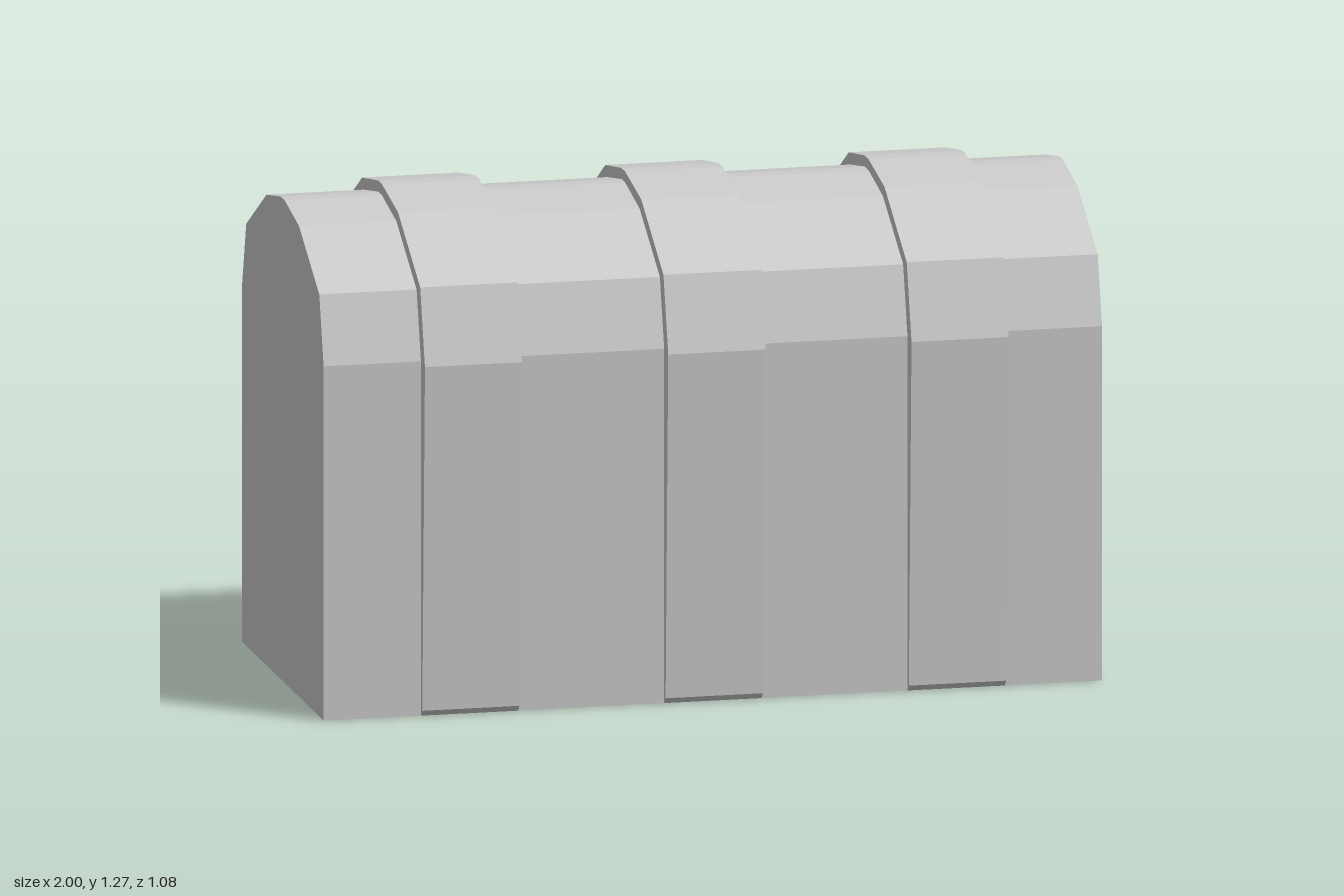
import * as THREE from 'three';

const MID = 0.042; // z of the chest's centre line
const material = new THREE.MeshStandardMaterial({ color: 0xcccccc, flatShading: true });

// Half profiles from the front foot up to the ridge: [distance from centre line, height]
const bodyHalf = [[0.454, 0], [0.454, 0.91], [0.406, 1.084], [0.181, 1.209], [0.02, 1.24]];
const strapHalf = [[0.454, 0], [0.47, 0.016], [0.499, 0.905], [0.446, 1.098], [0.2, 1.236], [0.022, 1.268]];

// Full outline, front foot over the lid to back foot, as [z, y]
function outline(half) {
  return [
    ...half.map(([d, y]) => [MID + d, y]),
    ...[...half].reverse().map(([d, y]) => [MID - d, y]),
  ];
}

// Extrude a closed [z, y] outline along x, centred on the given x
function slab(name, points, width, x) {
  const shape = new THREE.Shape(points.map(([z, y]) => new THREE.Vector2(-z, y)));
  const geometry = new THREE.ExtrudeGeometry(shape, { depth: width, bevelEnabled: false });
  geometry.translate(0, 0, -width / 2).rotateY(Math.PI / 2).translate(x, 0, 0);
  const mesh = new THREE.Mesh(geometry, material);
  mesh.name = name;
  return mesh;
}

export function createModel() {
  const group = new THREE.Group();
  group.name = 'chest';

  // Chest with domed lid
  const body = outline(bodyHalf);
  group.add(slab('chestBody', body, 2, 0));

  // Three bands wrapped over the chest
  const band = [...outline(strapHalf), ...body.slice(1, -1).reverse()];
  // The feet of band and body coincide, so the band closes along the body wall
  for (const [name, x] of [['rightStrap', -0.625], ['middleStrap', 0], ['leftStrap', 0.625]]) {
    group.add(slab(name, band, 0.25, x));
  }

  // Latch on the back: wide plate with a raised centre, leaning with the band
  const latch = (name, width, top, bottom) =>
    slab(name, [[-0.405, 0.366], [-0.405, 0.768], [top, 0.768], [bottom, 0.366]], width, 0);
  group.add(latch('latchPlate', 0.5, -0.522, -0.511));
  group.add(latch('latchCentre', 0.25, -0.541, -0.528));

  return group;
}
